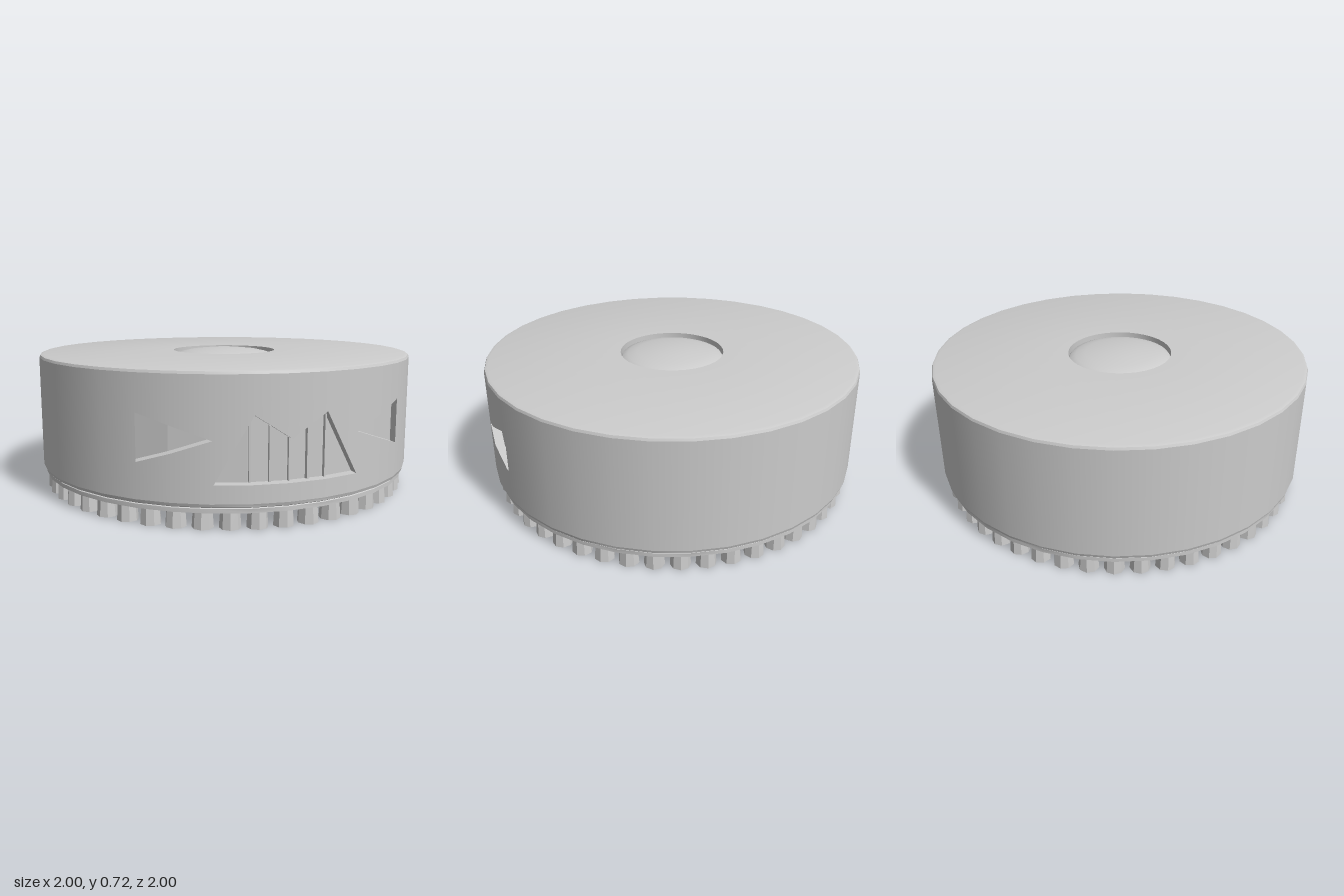
import * as THREE from 'three';
import { toCreasedNormals } from 'three/addons/utils/BufferGeometryUtils.js';

const SIDES = 36;
const STEP = (Math.PI * 2) / SIDES;
const WALL_LOW = 0.125, WALL_HIGH = 0.69;
const DEPTH = 0.05;   // depth of the face cut-outs
const SHIFT = 0.01;   // the face sits slightly off centre
const lerp = THREE.MathUtils.lerp;

// Lower and upper edge of the cut-out at a given x, or null where the wall is solid
function cutAt(x) {
  const u = Math.abs(x - SHIFT);
  if (u < 0.17) return [0.21, lerp(0.405, 0.515, u / 0.17)];
  if (u < 0.34) return [0.21, lerp(0.515, 0.21, (u - 0.17) / 0.17)];
  if (u > 0.345 && u < 0.645) {
    const half = 0.11 * (u - 0.345) / 0.3;
    return [0.405 - half, 0.405 + half];
  }
  return null;
}

// Point on the many-sided wall
function wallPoint(t, y, inset = 0) {
  const local = t - Math.floor(t / STEP + 1e-6) * STEP - STEP / 2;
  const r = Math.cos(STEP / 2) / Math.cos(local);
  return [r * Math.sin(t), y, r * Math.cos(t) - inset];
}

// Outer wall with eye and mouth openings, and the recesses behind them
function buildWall() {
  const cuts = [];
  for (let i = -SIDES / 2; i <= SIDES / 2; i++) cuts.push(i * STEP);
  for (const u of [0, 0.17, 0.34, 0.345, 0.645])
    for (const s of u ? [-1, 1] : [1]) cuts.push(Math.asin(s * u + SHIFT));
  cuts.sort((a, b) => a - b);

  const wall = [], normals = [], recess = [];
  const quad = (list, a, b, c, d) => list.push(...a, ...b, ...c, ...a, ...c, ...d);
  const wallQuad = (a, b, la, lb, ha, hb) => {
    quad(wall, wallPoint(a, la), wallPoint(b, lb), wallPoint(b, hb), wallPoint(a, ha));
    for (const t of [a, b, b, a, b, a]) normals.push(Math.sin(t), 0, Math.cos(t));
  };
  const side = (t, [lo, hi]) => quad(recess,
    wallPoint(t, lo), wallPoint(t, lo, DEPTH), wallPoint(t, hi, DEPTH), wallPoint(t, hi));

  for (let i = 0; i < cuts.length - 1; i++) {
    const a = cuts[i], b = cuts[i + 1];
    if (b - a < 1e-5) continue;
    const front = Math.cos((a + b) / 2) > 0;
    const ca = front && cutAt(Math.sin(a + 1e-5)), cb = front && cutAt(Math.sin(b - 1e-5));
    if (!ca || !cb) {
      wallQuad(a, b, WALL_LOW, WALL_LOW, WALL_HIGH, WALL_HIGH);
      continue;
    }
    wallQuad(a, b, WALL_LOW, WALL_LOW, ca[0], cb[0]);
    wallQuad(a, b, ca[1], cb[1], WALL_HIGH, WALL_HIGH);
    // recess back, sill and ceiling
    quad(recess, wallPoint(a, ca[0], DEPTH), wallPoint(b, cb[0], DEPTH),
      wallPoint(b, cb[1], DEPTH), wallPoint(a, ca[1], DEPTH));
    quad(recess, wallPoint(a, ca[0]), wallPoint(b, cb[0]),
      wallPoint(b, cb[0], DEPTH), wallPoint(a, ca[0], DEPTH));
    quad(recess, wallPoint(a, ca[1], DEPTH), wallPoint(b, cb[1], DEPTH),
      wallPoint(b, cb[1]), wallPoint(a, ca[1]));
    // upright ends of the eyes
    if (!cutAt(Math.sin(a - 1e-4))) side(a, ca);
    if (!cutAt(Math.sin(b + 1e-4))) side(b, cb);
  }

  const wallGeo = new THREE.BufferGeometry();
  wallGeo.setAttribute('position', new THREE.Float32BufferAttribute(wall, 3));
  wallGeo.setAttribute('normal', new THREE.Float32BufferAttribute(normals, 3));
  const recessGeo = new THREE.BufferGeometry();
  recessGeo.setAttribute('position', new THREE.Float32BufferAttribute(recess, 3));
  recessGeo.computeVertexNormals();
  return [wallGeo, recessGeo];
}

export function createModel() {
  const group = new THREE.Group();
  const grey = new THREE.MeshStandardMaterial({ color: 0xcccccc });
  const greyDouble = new THREE.MeshStandardMaterial({ color: 0xcccccc, side: THREE.DoubleSide });

  const add = (name, geometry, material = grey, parent = group) => {
    const mesh = new THREE.Mesh(geometry, material);
    mesh.name = name;
    parent.add(mesh);
    return mesh;
  };
  const lathe = (points, sides = SIDES) => toCreasedNormals(
    new THREE.LatheGeometry(points.map(([x, y]) => new THREE.Vector2(x, y)), sides), 0.6);

  // Body
  const [wallGeo, recessGeo] = buildWall();
  add('bodyWall', wallGeo);
  add('faceRecesses', recessGeo, greyDouble);
  add('base', lathe([[0, 0.08], [0.985, 0.08], [0.985, 0.1], [0.98, 0.103],
    [0.995, 0.11], [1, WALL_LOW]]));
  add('top', lathe([[1, WALL_HIGH], [0.995, 0.702], [0.98, 0.707], [0.28, 0.707], [0.28, 0.66]]));

  // Domed button in the top recess
  add('domeButton', lathe([[0.28, 0.67], [0.272, 0.682], [0.24, 0.695], [0.19, 0.706],
    [0.1, 0.716], [0, 0.722]]));

  // Thin upright ribs at the back of the mouth
  const ribs = new THREE.Group();
  ribs.name = 'mouthRibs';
  group.add(ribs);
  for (let i = -2; i <= 2; i++) {
    const x = SHIFT + i * 0.088;
    const [lo, hi] = cutAt(x);
    const rib = add('mouthRib', new THREE.BoxGeometry(0.008, hi - lo, 0.03), grey, ribs);
    rib.position.set(x, (lo + hi) / 2, Math.sqrt(1 - x * x) - DEPTH);
    rib.rotation.y = Math.asin(x);
  }

  // Ring of small feet
  const feet = new THREE.Group();
  feet.name = 'feet';
  group.add(feet);
  const footGeo = toCreasedNormals(new THREE.CylinderGeometry(0.044, 0.05, 0.085, 8), 0.5);
  const count = 48;
  for (let i = 0; i < count; i++) {
    const t = (i / count) * Math.PI * 2;
    const foot = add('foot', footGeo, grey, feet);
    foot.position.set(0.93 * Math.sin(t), 0.0425, 0.93 * Math.cos(t));
    foot.rotation.y = t;
  }
  return group;
}
